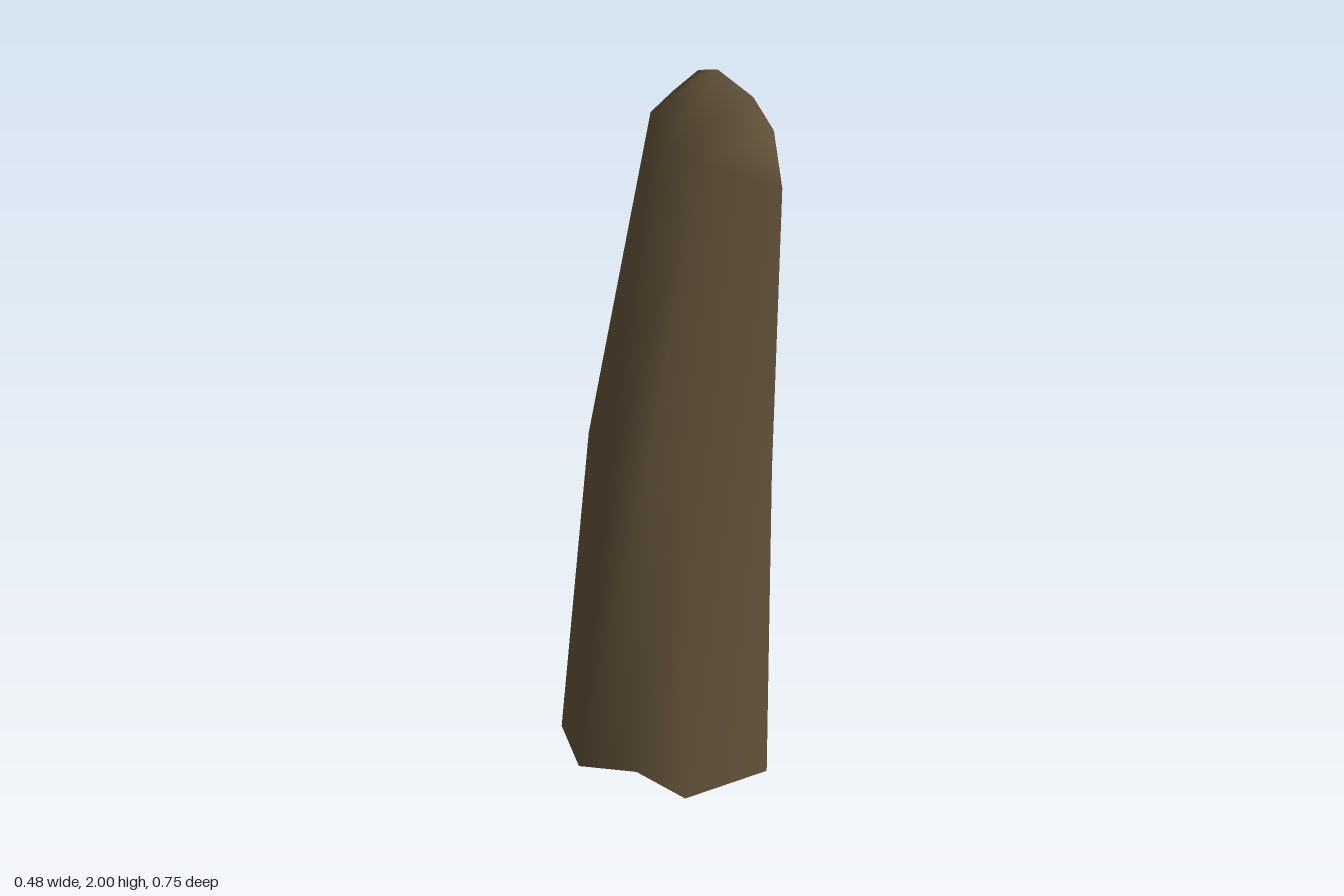
import * as THREE from 'three';
import { mergeVertices } from 'three/addons/utils/BufferGeometryUtils.js';

// Cross-sections of the open half shell, each running from the back rim, around -x, to the front rim
const E = 0.24; // x of the open rim
const sections = [
  // foot
  [[E, 0, -0.38], [-0.06, 0, -0.345], [-0.155, 0, -0.145], [-0.22, 0, -0.05],
    [-0.24, 0, 0.115], [-0.10, 0, 0.21], [-0.02, 0, 0.36], [E, 0, 0.375]],
  // waist
  [[E, 1.06, -0.28], [0.02, 1.08, -0.18], [-0.05, 1.07, -0.115], [-0.11, 1.06, -0.05],
    [-0.13, 1.06, 0.115], [-0.055, 1.06, 0.18], [0.015, 1.06, 0.24], [E, 1.06, 0.295]],
  // shoulder
  [[E, 1.84, -0.19], [E, 1.96, -0.145], [0.15, 1.945, -0.10], [0.065, 1.93, -0.05],
    [0.02, 1.92, 0.115], [0.065, 1.92, 0.21], [0.15, 1.88, 0.232], [E, 1.84, 0.26]],
  // upper rim of the cap
  [[E, 1.84, -0.19], [E, 1.96, -0.145], [E, 1.98, -0.10], [E, 2, -0.05],
    [E, 2, 0.115], [E, 1.96, 0.21], [E, 1.90, 0.235], [E, 1.84, 0.26]],
];

// Skin consecutive sections, leaving out triangles that collapse where the rims meet
function skin(rows) {
  const pos = [];
  const tri = (...pts) => {
    const [a, b, c] = pts.map((p) => new THREE.Vector3(...p));
    if (b.clone().sub(a).cross(c.clone().sub(a)).length() > 1e-6) {
      pts.forEach((p) => pos.push(...p));
    }
  };
  for (let r = 0; r < rows.length - 1; r++) {
    for (let c = 0; c < rows[r].length - 1; c++) {
      const a = rows[r][c], b = rows[r][c + 1];
      const d = rows[r + 1][c], e = rows[r + 1][c + 1];
      if (c < 4) { tri(a, b, d); tri(b, e, d); }
      else { tri(a, b, e); tri(a, e, d); }
    }
  }
  const geometry = new THREE.BufferGeometry();
  geometry.setAttribute('position', new THREE.Float32BufferAttribute(pos, 3));
  const merged = mergeVertices(geometry, 1e-4);
  merged.computeVertexNormals();
  return merged;
}

export function createModel() {
  const group = new THREE.Group();
  group.name = 'hollowHalfShell';
  const brown = new THREE.MeshStandardMaterial({ color: 0x65543b, side: THREE.DoubleSide });
  brown.name = 'darkBrown';

  // tapering shell, open at the foot and along its +x side
  const shell = new THREE.Mesh(skin(sections), brown);
  shell.name = 'shell';
  group.add(shell);
  return group;
}
